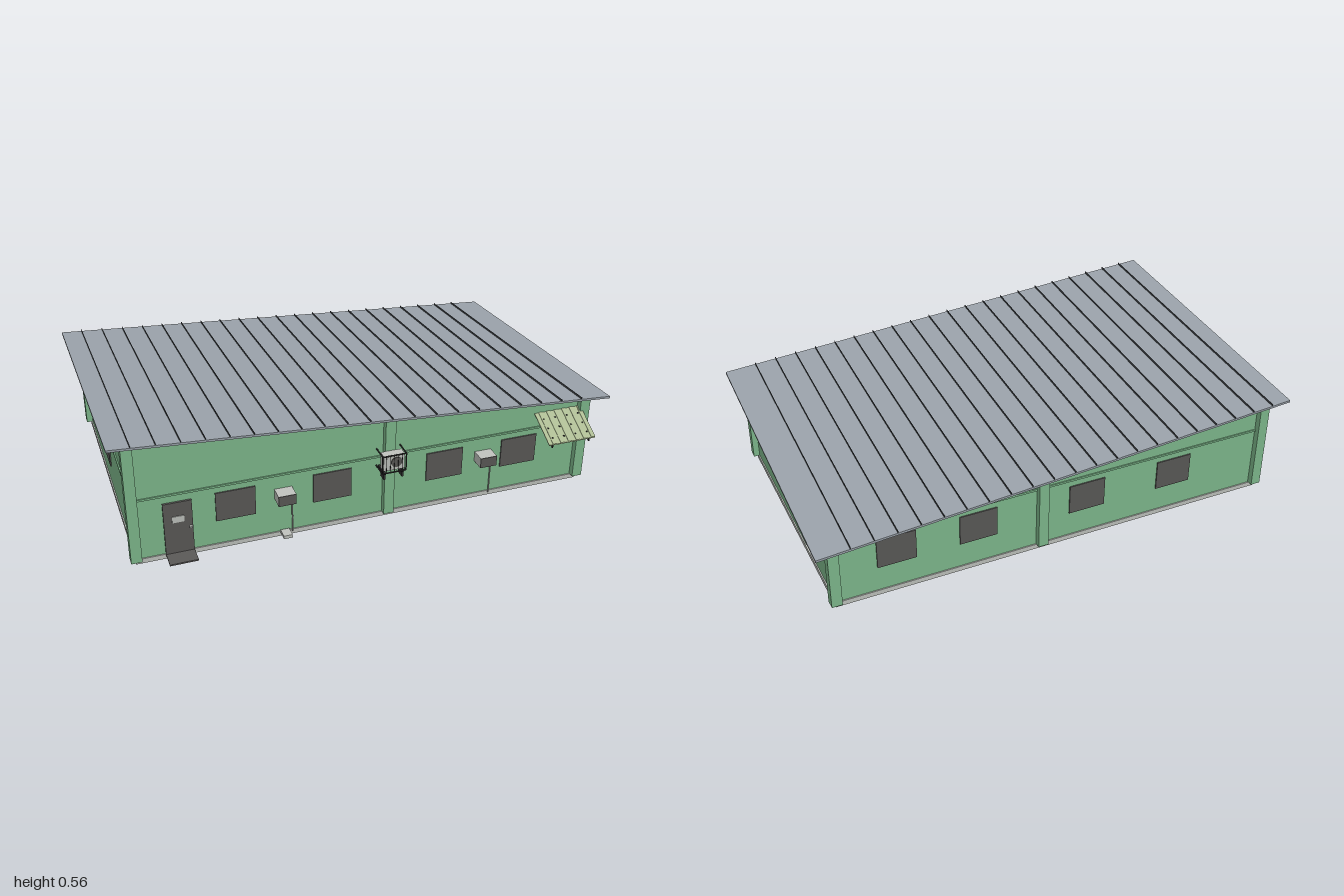
import * as THREE from 'three';

const mat = (name, color) => {
  const m = new THREE.MeshStandardMaterial({ color });
  m.name = name;
  return m;
};

// Roof plane: falls towards +x and towards the back
const roofTop = (x, z) => 0.557 - 0.0725 * (x + 1) - 0.0968 * (0.59 - z);
const roofUnder = (x, z) => roofTop(x, z) - 0.009;

export function createModel() {
  const model = new THREE.Group();
  const green = mat('wall green', 0x80bb8e);
  const roofGrey = mat('roof grey', 0x9ba3ab);
  const seamGrey = mat('seam dark grey', 0x43474b);
  const pale = mat('pale grey', 0xc0c3be);
  const dark = mat('window grey', 0x5b5a58);
  const black = mat('metal black', 0x303030);
  const awningGreen = mat('awning pale green', 0xb0bf96);

  const add = (name, geo, material) => {
    const mesh = new THREE.Mesh(geo, material);
    mesh.name = name;
    model.add(mesh);
    return mesh;
  };

  // Box given by its limits
  const box = (name, m, x0, x1, y0, y1, z0, z1) => {
    const mesh = add(name, new THREE.BoxGeometry(x1 - x0, y1 - y0, z1 - z0), m);
    mesh.position.set((x0 + x1) / 2, (y0 + y1) / 2, (z0 + z1) / 2);
    return mesh;
  };

  // Box whose bottom and top heights follow functions of x and z
  const slopedBox = (name, m, x0, x1, z0, z1, bottom, top) => {
    const geo = new THREE.BoxGeometry(x1 - x0, 1, z1 - z0);
    geo.translate((x0 + x1) / 2, 0, (z0 + z1) / 2);
    const p = geo.attributes.position;
    for (let i = 0; i < p.count; i++) {
      const f = p.getY(i) > 0 ? top : bottom;
      p.setY(i, f(p.getX(i), p.getZ(i)));
    }
    geo.computeVertexNormals();
    return add(name, geo, m);
  };

  // Straight rod between two points
  const rod = (name, m, a, b, r) => {
    const from = new THREE.Vector3(...a), to = new THREE.Vector3(...b);
    const dir = to.clone().sub(from);
    const mesh = add(name, new THREE.CylinderGeometry(r, r, dir.length(), 8), m);
    mesh.position.copy(from).add(to).multiplyScalar(0.5);
    mesh.quaternion.setFromUnitVectors(new THREE.Vector3(0, 1, 0), dir.normalize());
    return mesh;
  };

  // Foundation and walls
  const X = 0.92, ZF = 0.515, ZB = -0.575, floor = () => 0.02;
  box('foundation', pale, -0.925, 0.925, 0, 0.02, -0.58, 0.52);
  slopedBox('walls', green, -X, X, ZB, ZF, floor, roofUnder);

  // Corner and middle pillars
  for (const [z0, z1] of [[0.5, 0.54], [-0.6, -0.56]])
    for (const x of [-0.945, 0.06, 0.903])
      slopedBox('pillar', green, x, x + 0.042, z0, z1, floor, roofUnder);

  // Horizontal rail around the walls
  box('wallRail', green, -X - 0.005, X + 0.005, 0.275, 0.283, ZB - 0.005, ZF + 0.005);

  // Roof sheet with standing seams
  slopedBox('roof', roofGrey, -1, 1, -0.65, 0.59, roofUnder, roofTop);
  for (let i = 0; i < 21; i++) {
    const x = -0.915 + i * 0.0893;
    slopedBox('roofSeam', seamGrey, x - 0.001, x + 0.001, -0.65, 0.59,
      roofTop, (a, b) => roofTop(a, b) + 0.008);
  }

  // Windows: front, back and one in the -x wall
  const W = 0.155;
  for (const x of [-0.61, -0.225, 0.245, 0.57])
    box('frontWindow', dark, x, x + W, 0.125, 0.25, ZF, ZF + 0.005);
  for (const x of [0.6, 0.27, -0.195, -0.59])
    box('backWindow', dark, x, x + W, 0.125, 0.25, ZB - 0.005, ZB);
  box('sideWindow', dark, -X - 0.005, -X, 0.125, 0.25, -0.15, 0.01);

  // Door with pane, handle and step
  box('door', dark, -0.81, -0.7, 0.02, 0.245, ZF, ZF + 0.008);
  box('doorPane', pale, -0.778, -0.732, 0.158, 0.185, ZF + 0.008, ZF + 0.011);
  box('doorHandle', pale, -0.715, -0.703, 0.127, 0.133, ZF + 0.008, ZF + 0.018);
  box('doorStep', dark, -0.81, -0.7, 0.014, 0.02, ZF, 0.59);

  // Small wall units with dark grilles and drain pipes
  for (const x of [-0.38, 0.455]) {
    box('wallUnit', pale, x, x + 0.07, 0.174, 0.217, ZF, 0.57);
    box('wallUnitGrille', dark, x, x + 0.07, 0.174, 0.217, 0.57, 0.574);
    rod('drainPipe', pale, [x + 0.066, 0.02, 0.53], [x + 0.066, 0.18, 0.53], 0.003);
  }
  box('drainBlock', pale, -0.36, -0.325, 0.014, 0.028, 0.52, 0.565);

  // Fan unit in a black cage on the middle pillar
  box('fanUnit', pale, 0.04, 0.126, 0.245, 0.312, 0.54, 0.575);
  const fan = add('fan', new THREE.CylinderGeometry(0.022, 0.022, 0.004, 24), dark);
  fan.rotation.x = Math.PI / 2;
  fan.position.set(0.092, 0.28, 0.577);
  for (const y of [0.24, 0.315]) {
    rod('cageBar', black, [0.033, y, 0.582], [0.13, y, 0.582], 0.003);
    for (const x of [0.033, 0.13])
      rod('cageBar', black, [x, y, 0.515], [x, y, 0.582], 0.003);
  }
  for (let i = 0; i < 7; i++) {
    const x = 0.033 + i * 0.097 / 6, r = i % 6 ? 0.0012 : 0.003;
    rod('cagePost', black, [x, 0.24, 0.582], [x, 0.315, 0.582], r);
  }
  for (const x of [0.045, 0.12]) {
    box('bracketArm', black, x - 0.004, x + 0.004, 0.232, 0.24, ZF, 0.58);
    box('bracketLeg', black, x - 0.004, x + 0.004, 0.207, 0.24, 0.54, 0.575);
  }

  // Corrugated awning with struts and bolts
  const awningY = z => 0.345 - (z - ZF) * 0.52;
  const n = 12, w = 0.205 / n;
  for (let i = 0; i < n; i++) {
    const x = 0.71 + i * w, lift = (i % 2) * 0.002;
    slopedBox('awningPanel', awningGreen, x, x + w, ZF, 0.65,
      (a, z) => awningY(z) - 0.004, (a, z) => awningY(z) + lift);
  }
  for (const x of [0.73, 0.892]) {
    rod('awningStrut', black, [x, 0.322, ZF], [x, 0.256, 0.642], 0.003);
    rod('awningPost', black, [x, 0.256, 0.642], [x, awningY(0.642) - 0.002, 0.642], 0.003);
  }
  for (const z of [0.545, 0.585, 0.625])
    for (let i = 0; i < 4; i++) {
      const x = 0.71 + w * (1.5 + i * 3), y = awningY(z);
      box('awningBolt', black, x - 0.0025, x + 0.0025, y, y + 0.004, z - 0.0025, z + 0.0025);
    }

  return model;
}
